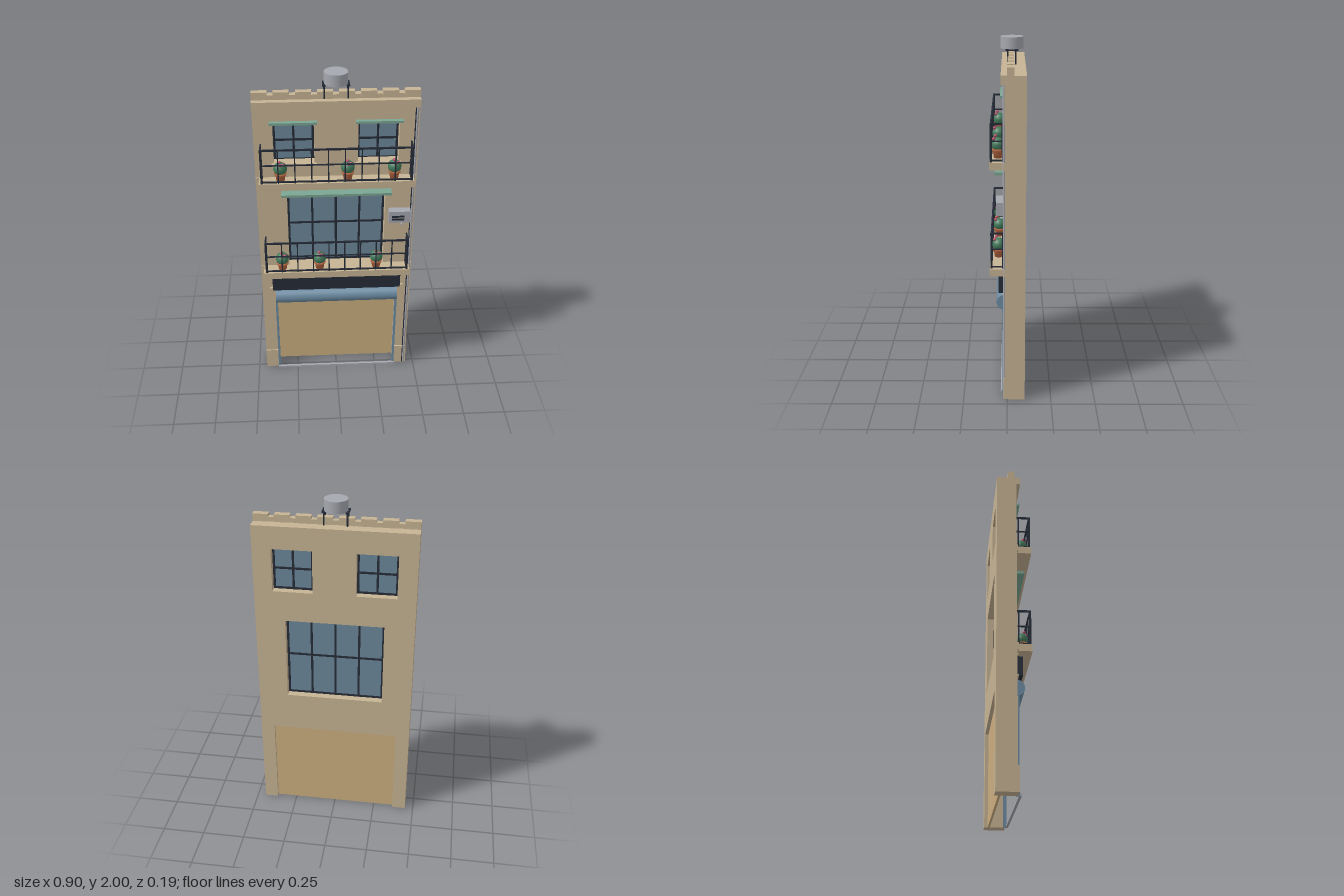
import * as THREE from 'three';

const mat = (name, color) => Object.assign(new THREE.MeshStandardMaterial({ color }), { name });

export function createModel() {
  const M = {
    stucco: mat('stucco', 0xc6b393),
    board: mat('shop board', 0xcbae80),
    glass: mat('window glass', 0x6b8899),
    iron: mat('dark iron', 0x262c38),
    hood: mat('green hood', 0x7ba592),
    shutter: mat('shutter blue', 0x6c8ba2),
    metal: mat('pale metal', 0xa6a8af),
    clay: mat('terracotta', 0xb5653f),
    leaf: mat('foliage', 0x41795a),
    petal: mat('flower pink', 0xb8506c),
  };
  const root = new THREE.Group();
  root.name = 'townhouseFacade';
  const FRONT = 0.012, BACK = -0.1;

  const add = (parent, name, geo, material, x = 0, y = 0, z = 0) => {
    const m = new THREE.Mesh(geo, material);
    m.name = name;
    m.position.set(x, y, z);
    parent.add(m);
    return m;
  };
  // Box given by its extents on each axis
  const box = (parent, name, material, x0, x1, y0, y1, z0, z1) =>
    add(parent, name, new THREE.BoxGeometry(x1 - x0, y1 - y0, z1 - z0), material,
      (x0 + x1) / 2, (y0 + y1) / 2, (z0 + z1) / 2);
  const group = (name, parent = root) => {
    const g = new THREE.Group();
    g.name = name;
    parent.add(g);
    return g;
  };

  // Wall with shop doorway and window openings
  const windows = [
    { name: 'largeWindow', x0: -0.28, x1: 0.28, y0: 0.795, y1: 1.295, cols: 4, bar: 1.06 },
    { name: 'upperWindowRight', x0: -0.345, x1: -0.12, y0: 1.475, y1: 1.725, cols: 2, bar: 1.6 },
    { name: 'upperWindowLeft', x0: 0.12, x1: 0.345, y0: 1.475, y1: 1.725, cols: 2, bar: 1.6 },
  ];
  const pts = [[-0.45, 0], [-0.37, 0], [-0.37, 0.56], [0.37, 0.56], [0.37, 0], [0.45, 0], [0.45, 1.855], [-0.45, 1.855]];
  const wall = new THREE.Shape(pts.map(p => new THREE.Vector2(...p)));
  for (const w of windows) {
    wall.holes.push(new THREE.Path([[w.x0, w.y0], [w.x0, w.y1], [w.x1, w.y1], [w.x1, w.y0]]
      .map(p => new THREE.Vector2(...p))));
  }
  add(root, 'wall', new THREE.ExtrudeGeometry(wall, { depth: FRONT - BACK, bevelEnabled: false }), M.stucco, 0, 0, BACK);

  // Glazing, frames and glazing bars
  for (const w of windows) {
    const g = group(w.name), z0 = -0.06, z1 = -0.045, t = 0.012;
    box(g, 'glass', M.glass, w.x0, w.x1, w.y0, w.y1, -0.055, -0.05);
    for (let i = 0; i <= w.cols; i++) {
      const x = w.x0 + t / 2 + (w.x1 - w.x0 - t) * i / w.cols;
      box(g, 'uprightBar', M.iron, x - t / 2, x + t / 2, w.y0, w.y1, z0, z1);
    }
    for (const y of [w.y0 + t / 2, w.bar, w.y1 - t / 2])
      box(g, 'crossBar', M.iron, w.x0, w.x1, y - t / 2, y + t / 2, z0 + 0.001, z1 - 0.001);
  }

  // Hoods over the windows and sills below the upper pair
  box(root, 'largeHood', M.hood, -0.31, 0.31, 1.297, 1.312, FRONT, 0.07);
  for (const s of [-1, 1]) {
    const c = s * 0.2325;
    box(root, 'upperHood', M.hood, c - 0.128, c + 0.128, 1.724, 1.738, FRONT, 0.038);
    box(root, 'sill', M.stucco, c - 0.125, c + 0.125, 1.472, 1.486, -0.04, 0.028);
  }

  // Cornice, floor bands, ledges and plinths
  box(root, 'cornice', M.stucco, -0.45, 0.45, 1.81, 1.856, 0, 0.033);
  for (const y of [0.8, 1.4]) box(root, 'floorBand', M.stucco, -0.45, 0.45, y - 0.04, y, 0, 0.02);
  for (const y of [0.75, 0.629]) box(root, 'ledge', M.stucco, -0.405, 0.405, y, y + 0.008, 0, 0.025);
  for (const s of [-1, 1])
    add(root, 'plinth', new THREE.BoxGeometry(0.08, 0.135, 0.02), M.stucco, s * 0.41, 0.0675, 0.01);

  // Notched parapet
  box(root, 'parapet', M.stucco, -0.45, 0.45, 1.855, 1.88, -0.034, -0.003);
  for (let i = 0; i < 8; i++) {
    const x = -0.45 + i * 0.1165;
    box(root, 'merlon', M.stucco, x, x + 0.0845, 1.855, 1.897, -0.037, 0);
  }

  // Flower pot: turned pot, round bush, small blossoms
  const potGeo = new THREE.LatheGeometry([[0, 0], [0.023, 0], [0.029, 0.038], [0.034, 0.038], [0.034, 0.05], [0, 0.05]]
    .map(p => new THREE.Vector2(...p)), 16);
  const bushGeo = new THREE.SphereGeometry(0.038, 16, 12);
  const petalGeo = new THREE.SphereGeometry(0.009, 10, 8);
  const pot = (parent, x, y) => {
    const g = group('flowerPot', parent);
    g.position.set(x, y, 0.048);
    add(g, 'pot', potGeo.clone(), M.clay);
    add(g, 'bush', bushGeo, M.leaf, 0, 0.072, 0);
    for (const [px, py, pz] of [[-0.004, 0.118, 0.014], [0.016, 0.106, 0.023], [0.002, 0.102, 0.024]])
      add(g, 'blossom', petalGeo, M.petal, px, py, pz);
  };

  // Balconies with railings
  const balcony = (name, y, potXs) => {
    const g = group(name), X = 0.413, Z = 0.085, h = 0.004;
    box(g, 'slab', M.stucco, -0.43, 0.43, y - 0.042, y, 0, 0.095);
    for (const [dy, t] of [[0.008, 0.004], [0.11, 0.003], [0.202, 0.005]]) {
      box(g, 'frontRail', M.iron, -X - h, X + h, y + dy - t, y + dy + t, Z - h, Z + h);
      for (const s of [-1, 1])
        add(g, 'sideRail', new THREE.BoxGeometry(2 * h, 2 * t, Z - FRONT), M.iron, s * X, y + dy, (Z + FRONT) / 2);
    }
    const n = 9;
    for (let i = 0; i <= n; i++) {
      const x = -X + 2 * X * i / n, t = i % n ? 0.0035 : 0.006;
      box(g, 'baluster', M.iron, x - t, x + t, y, y + 0.205, Z - t, Z + t);
    }
    for (const s of [-1, 1])
      add(g, 'wallPost', new THREE.BoxGeometry(0.008, 0.205, 0.008), M.iron, s * X, y + 0.1025, 0.024);
    potXs.forEach(x => pot(g, x, y));
  };
  balcony('lowerBalcony', 0.8, [-0.32, -0.1, 0.235]);
  balcony('upperBalcony', 1.4, [-0.31, 0.062, 0.32]);

  // Shop front: fascia, rolled shutter, guides, threshold, back board
  const shop = group('shopFront');
  box(shop, 'fascia', M.iron, -0.385, 0.385, 0.637, 0.747, FRONT, 0.048);
  const roll = add(shop, 'shutterRoll', new THREE.CylinderGeometry(0.046, 0.046, 0.74, 24), M.shutter, 0, 0.574, 0.014);
  roll.rotation.z = Math.PI / 2;
  for (const s of [-1, 1])
    add(shop, 'shutterGuide', new THREE.BoxGeometry(0.013, 0.53, 0.02), M.shutter, s * 0.367, 0.265, 0.018);
  box(shop, 'bottomBar', M.metal, -0.373, 0.373, 0, 0.013, 0.024, 0.038);
  box(shop, 'board', M.board, -0.37, 0.37, 0, 0.56, -0.08, -0.068);

  // Downpipe with dark clips
  add(root, 'downpipe', new THREE.CylinderGeometry(0.007, 0.007, 1.81, 12), M.metal, 0.436, 0.905, 0.016);
  box(root, 'pipeBacking', M.iron, 0.425, 0.43, 0, 1.81, 0.01, 0.021);

  // Air conditioner with grille and drain stub
  const ac = group('airConditioner');
  box(ac, 'case', M.metal, 0.3, 0.425, 1.107, 1.18, FRONT, 0.06);
  for (const y of [1.124, 1.142]) box(ac, 'grille', M.iron, 0.318, 0.388, y, y + 0.012, 0.058, 0.062);
  const drain = add(ac, 'drain', new THREE.CylinderGeometry(0.006, 0.006, 0.028, 10), M.metal, 0.38, 1.078, 0.024);
  drain.rotation.x = Math.PI / 2;

  // Rooftop water tank on a stand
  const tank = group('waterTank');
  add(tank, 'drum', new THREE.CylinderGeometry(0.064, 0.064, 0.064, 32), M.metal, 0, 1.968, -0.025);
  for (const s of [-1, 1]) {
    box(tank, 'standBeam', M.iron, s * 0.064 - 0.009, s * 0.064 + 0.009, 1.928, 1.936, -0.06, 0.01);
    for (const z of [-0.045, -0.003])
      add(tank, 'standLeg', new THREE.BoxGeometry(0.008, 0.085, 0.008), M.iron, s * 0.063, 1.8955, z);
  }
  box(tank, 'standTie', M.iron, -0.06, 0.06, 1.93, 1.936, -0.03, -0.02);
  return root;
}
